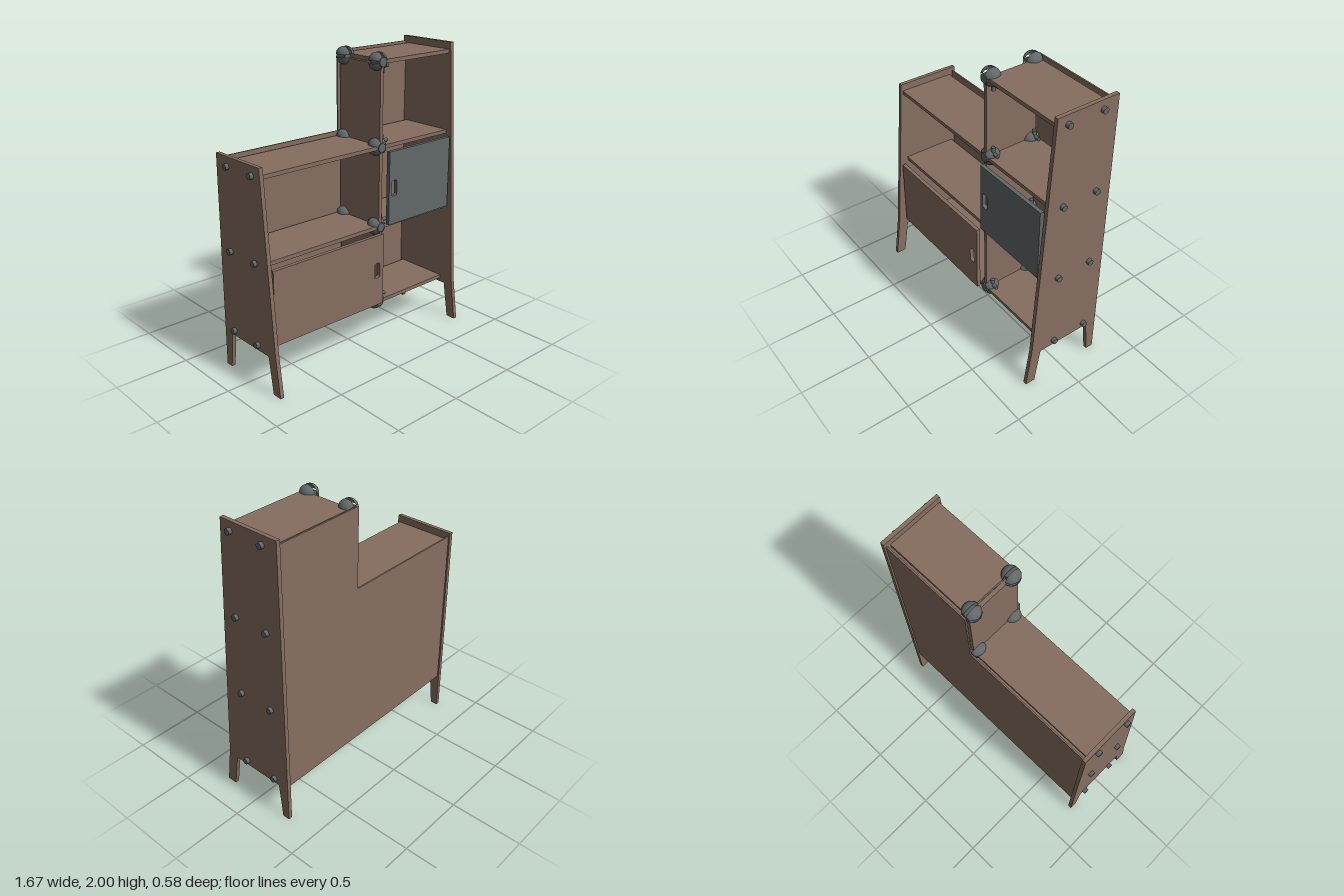
import * as THREE from 'three';

const material = (name, color, side = THREE.FrontSide) => {
  const m = new THREE.MeshStandardMaterial({ color, side });
  m.name = name;
  return m;
};

export function createModel() {
  const root = new THREE.Group();
  root.name = 'shelvingUnit';
  const wood = material('brown wood', 0x866e61);
  const grey = material('slate grey', 0x626868, THREE.DoubleSide);

  const add = (name, geometry, mat, parent = root) => {
    const mesh = new THREE.Mesh(geometry, mat);
    mesh.name = name;
    parent.add(mesh);
    return mesh;
  };
  // Box given by its limits on each axis
  const box = (name, x0, x1, y0, y1, z0, z1, mat = wood) =>
    add(name, new THREE.BoxGeometry(x1 - x0, y1 - y0, z1 - z0), mat)
      .position.set((x0 + x1) / 2, (y0 + y1) / 2, (z0 + z1) / 2);
  const shapeOf = pts => new THREE.Shape(pts.map(p => new THREE.Vector2(...p)));
  const extrude = (shape, depth) =>
    new THREE.ExtrudeGeometry(shape, { depth, bevelEnabled: false, curveSegments: 6 });

  const levels = [0.289, 0.838, 1.387, 1.939];
  const jointX = 0.163;

  // Side panels with splayed legs, drawn as (z, y)
  const sidePanel = (name, x, top) => {
    const outline = [[0.29, 0], [0.25, 0.29], [0.15, top], [-0.287, top],
      [-0.287, 0], [-0.235, 0], [-0.208, 0.25], [0.18, 0.25], [0.22, 0]];
    const g = extrude(shapeOf(outline.map(([z, y]) => [-z, y])), 0.027);
    g.rotateY(Math.PI / 2);
    add(name, g, wood).position.x = x;
  };
  sidePanel('leftSidePanel', 0.784, 2);
  sidePanel('rightSidePanel', -0.811, 1.45);

  // Stepped back panel
  add('backPanel', extrude(shapeOf([[-0.785, 0.262], [0.785, 0.262], [0.785, 1.965],
    [0.147, 1.965], [0.147, 1.424], [-0.785, 1.424]]), 0.01), wood).position.z = -0.276;

  // Shelves on both sides of the divider
  levels.forEach((y, i) => {
    box('leftShelf', 0.177, 0.785, y - 0.013, y + 0.013, -0.243, 0.14);
    if (i < 3) box('rightShelf', -0.785, 0.149, y - 0.013, y + 0.013, -0.243, 0.14);
  });
  // Upright divider between neighbouring levels
  for (let i = 0; i < 3; i++) {
    box('divider', 0.15, 0.176, levels[i] - 0.013, levels[i + 1] - 0.013, -0.243, 0.14);
  }

  // Doors with a rounded finger slot cut through
  const door = (name, x0, x1, y0, y1, hx, hy, mat) => {
    const shape = shapeOf([[x0, y0], [x1, y0], [x1, y1], [x0, y1]]);
    const w = 0.024, h = 0.054, r = 0.015;
    const hole = new THREE.Path();
    [[w - r, h - r, 0], [r - w, h - r, 1], [r - w, r - h, 2], [w - r, r - h, 3]].forEach(([x, y, q]) =>
      hole.absarc(hx + x, hy + y, r, q * Math.PI / 2, (q + 1) * Math.PI / 2));
    shape.holes.push(hole);
    add(name, extrude(shape, 0.026), mat).position.z = 0.17;
  };
  door('rightDoor', -0.767, 0.144, 0.308, 0.811, 0.09, 0.56, wood);
  door('leftDoor', 0.188, 0.762, 0.861, 1.364, 0.234, 1.11, grey);

  // Bolts through the side panels
  const boltGeometry = new THREE.CylinderGeometry(0.02, 0.02, 0.027, 20).rotateZ(Math.PI / 2);
  for (const side of [-1, 1]) {
    levels.slice(0, side > 0 ? 4 : 3).forEach(y => [0.076, -0.174].forEach(z =>
      add('bolt', boltGeometry, grey).position.set(side * 0.821, y, z)));
  }

  // Ball joints: four quarter domes around a core, cut flat on the outside
  const gap = 0.013;
  const profile = [new THREE.Vector2(0.022, 0.05)];
  for (let i = 0; i <= 10; i++) {
    const a = THREE.MathUtils.lerp(1.04, -Math.PI / 2, i / 10);
    profile.push(new THREE.Vector2(Math.max(0, Math.cos(a) * 0.058 - 0.008), Math.sin(a) * 0.058));
  }
  const quarter = new THREE.LatheGeometry(profile, 8, 0, Math.PI / 2).rotateX(Math.PI / 2);
  quarter.computeBoundingBox();
  // Move the first quadrant's corner off the axis to leave the panel slots
  const c = quarter.boundingBox.getCenter(new THREE.Vector3());
  quarter.translate(Math.sign(c.x) * gap * 0.7, Math.sign(c.y) * gap * 0.7, 0);
  const core = new THREE.CylinderGeometry(0.03, 0.03, 0.085, 24).rotateX(Math.PI / 2);
  core.translate(0, 0, 0.0085);
  const pinX = new THREE.CylinderGeometry(0.013, 0.013, 0.06, 14).rotateZ(Math.PI / 2);
  const pinY = new THREE.CylinderGeometry(0.013, 0.013, 0.06, 14);

  levels.forEach((y, i) => [0.1, -0.21].forEach(z => {
    const joint = new THREE.Group();
    joint.name = 'ballJoint';
    joint.position.set(jointX, y, z);
    if (z < 0) joint.rotation.y = Math.PI;
    root.add(joint);
    for (let q = 0; q < 4; q++) {
      add('jointDome', quarter, grey, joint).rotation.z = q * Math.PI / 2;
    }
    add('jointCore', core, grey, joint);
    // Clamping pins inside the tall column
    const up = i === 3 ? -1 : 1;
    const side = z < 0 ? -1 : 1;
    add('shelfPin', pinX, grey, joint).position.set(side * 0.052, up * 0.033, 0.005);
    add('dividerPin', pinY, grey, joint).position.set(side * 0.034, up * 0.047, 0.005);
  }));

  return root;
}
